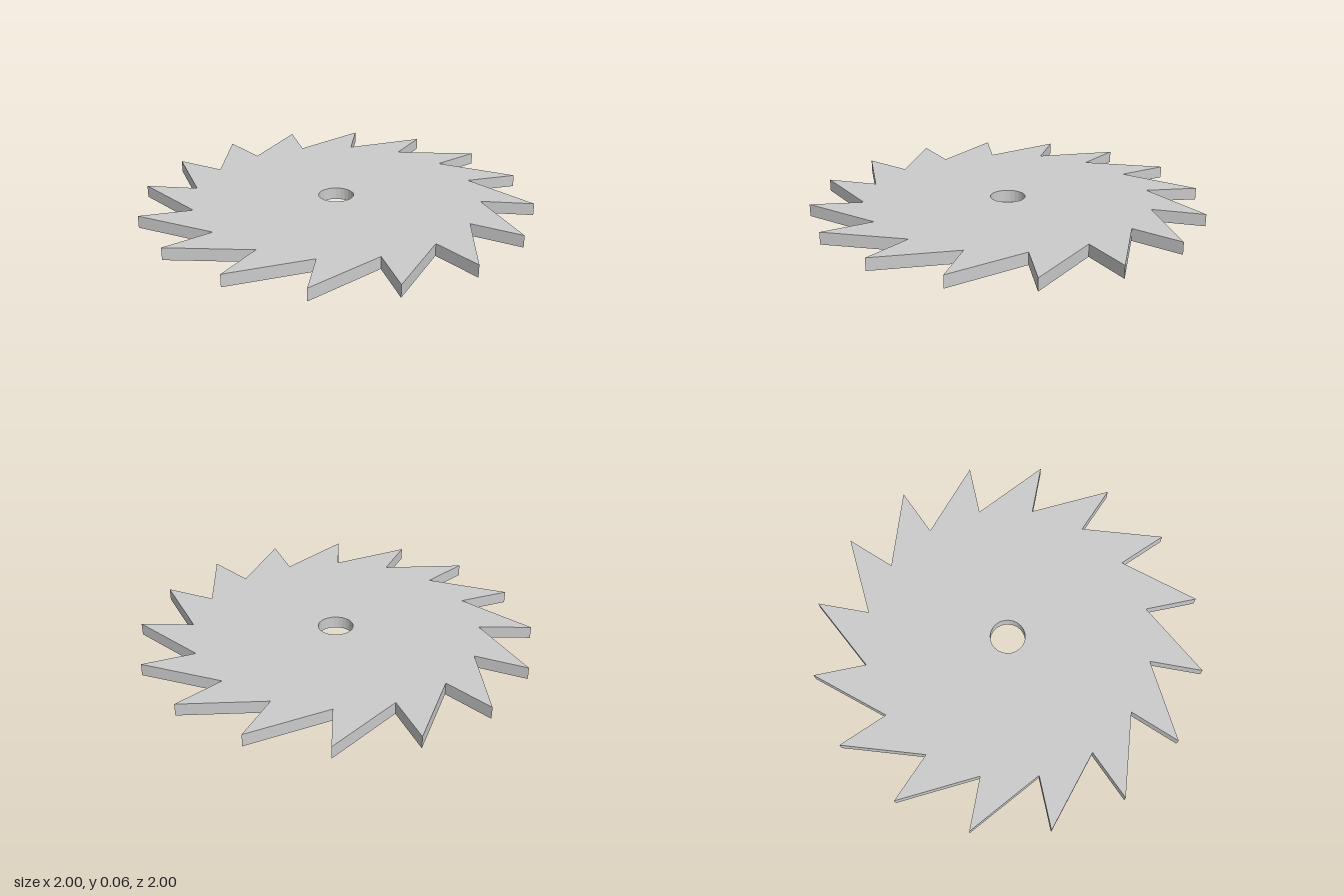
import * as THREE from 'three';

const TEETH = 16, TIP = 1, ROOT = 0.732, BORE = 0.09, THICKNESS = 0.062;

export function createModel() {
  const group = new THREE.Group();
  group.name = 'sawBlade';

  // Toothed outline: a radial face from tip to root, then a sloped back to the next tip
  const outline = [];
  for (let i = 0; i < TEETH; i++) {
    const a = (i / TEETH) * Math.PI * 2;
    for (const r of [TIP, ROOT]) {
      outline.push(new THREE.Vector2(r * Math.cos(a), r * Math.sin(a)));
    }
  }
  const shape = new THREE.Shape(outline);

  // Round arbor hole in the centre
  shape.holes.push(new THREE.Path().absarc(0, 0, BORE, 0, Math.PI * 2, true));

  // Extrude and lay flat on the ground
  const geometry = new THREE.ExtrudeGeometry(shape, {
    depth: THICKNESS, bevelEnabled: false, curveSegments: 12,
  });
  geometry.rotateX(Math.PI / 2).translate(0, THICKNESS, 0);

  const blade = new THREE.Mesh(
    geometry,
    new THREE.MeshStandardMaterial({ color: 0xcccccc, flatShading: true }),
  );
  blade.name = 'toothedDisc';
  group.add(blade);
  return group;
}
